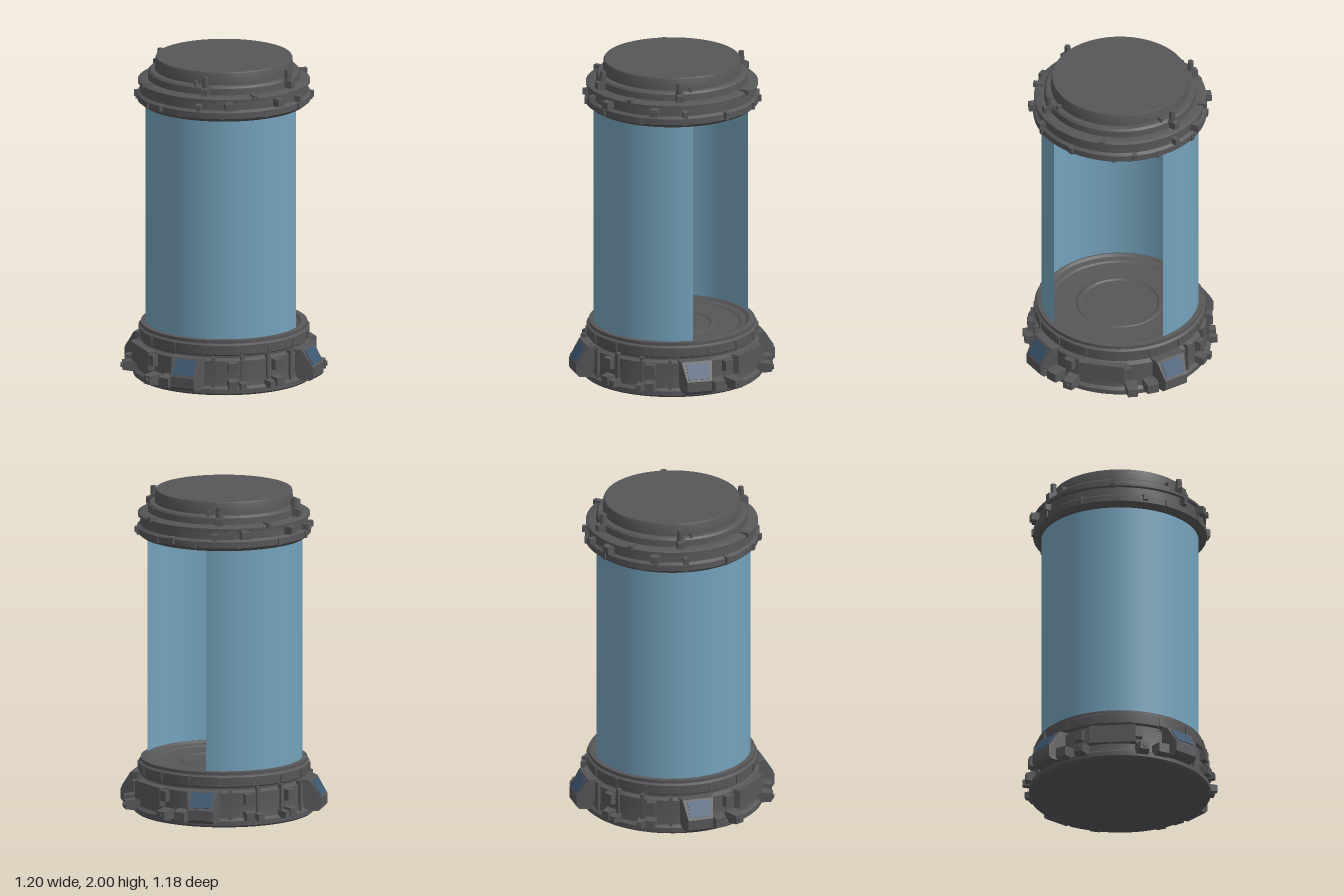
import * as THREE from 'three';
import { toCreasedNormals } from 'three/addons/utils/BufferGeometryUtils.js';

const mat = (name, color, side = THREE.FrontSide) =>
  Object.assign(new THREE.MeshStandardMaterial({ color, side }), { name });

export function createModel() {
  const model = new THREE.Group();
  model.name = 'containmentTube';
  const metal = mat('dark metal', 0x57575a);
  const glass = mat('blue glass', 0x74a2bb, THREE.DoubleSide);
  const panel = mat('navy panel', 0x3d5872);

  const add = (name, geo, material = metal) => {
    const mesh = new THREE.Mesh(geo, material);
    mesh.name = name;
    model.add(mesh);
    return mesh;
  };
  const lathe = (name, pts) => add(name, toCreasedNormals(
    new THREE.LatheGeometry(pts.map(p => new THREE.Vector2(...p)), 72), 0.5));
  // Place a part around the axis; angle in degrees from +z towards +x
  const around = (name, geo, angle, r, y, material) => {
    const a = THREE.MathUtils.degToRad(angle);
    const mesh = add(name, geo, material);
    mesh.position.set(Math.sin(a) * r, y, Math.cos(a) * r);
    mesh.rotation.y = a;
  };
  const mirrored = a => [a, 180 - a, 180 + a, -a];
  const box = (w, h, d) => new THREE.BoxGeometry(w, h, d);
  // Box whose outer face is chamfered by shrinking it
  const taperBox = (w, h, d, k = 0.7) => {
    const g = box(w, h, d), p = g.attributes.position;
    for (let i = 0; i < p.count; i++) {
      if (p.getZ(i) > 0) p.setXY(i, p.getX(i) * k, p.getY(i) * k);
    }
    g.computeVertexNormals();
    return g;
  };

  // Base with stepped outside and ringed floor
  lathe('base', [[0, 0], [0.54, 0], [0.555, 0.012], [0.555, 0.04], [0.535, 0.055],
    [0.53, 0.09], [0.53, 0.21], [0.505, 0.225], [0.505, 0.238], [0.52, 0.248],
    [0.522, 0.305], [0.508, 0.315], [0.508, 0.335], [0.47, 0.338], [0.455, 0.325],
    [0.42, 0.32], [0.41, 0.312], [0.27, 0.308], [0.26, 0.314], [0.24, 0.314],
    [0.23, 0.306], [0.12, 0.306], [0, 0.306]]);

  // Cap with recessed ceiling and stepped outside
  lathe('cap', [[0, 1.8], [0.38, 1.8], [0.39, 1.74], [0.42, 1.735], [0.43, 1.715],
    [0.5, 1.712], [0.518, 1.725], [0.53, 1.735], [0.53, 1.772], [0.512, 1.785],
    [0.51, 1.835], [0.525, 1.84], [0.525, 1.855], [0.505, 1.865], [0.465, 1.868],
    [0.462, 1.908], [0.45, 1.92], [0.422, 1.922], [0.418, 1.99], [0.413, 2], [0, 2]]);

  // Glass wall, open for a quarter turn on the +x side
  add('glassWall', new THREE.CylinderGeometry(0.48, 0.48, 1.385, 72, 1, true,
    Math.PI * 0.75, Math.PI * 1.5), glass).position.y = 1.0275;

  // Sloped corner housings with coloured plates
  const profile = new THREE.Shape([[0.48, 0.035], [0.61, 0.035], [0.63, 0.055],
    [0.63, 0.118], [0.56, 0.228], [0.48, 0.228]].map(p => new THREE.Vector2(...p)));
  const housing = new THREE.ExtrudeGeometry(profile, { depth: 1, bevelEnabled: false });
  housing.translate(0, 0, -0.5).rotateY(-Math.PI / 2);
  const hp = housing.attributes.position;
  for (let i = 0; i < hp.count; i++) {
    const t = Math.max(0, (hp.getZ(i) - 0.52) / 0.11);
    hp.setX(i, hp.getX(i) * (0.215 - 0.06 * t));
  }
  housing.computeVertexNormals();
  const plate = box(0.135, 0.102, 0.008).rotateX(-Math.atan(0.07 / 0.11));
  for (const a of mirrored(45)) {
    around('cornerHousing', housing, a, 0, 0);
    around('housingPlate', plate, a, 0.595, 0.174, panel);
  }

  // Lower clamps: knobs and blocks beside the housings, and on front and back
  for (const a of mirrored(70.7)) {
    around('clampKnob', taperBox(0.085, 0.075, 0.11), a, 0.565, 0.06);
    around('clampPin', new THREE.CylinderGeometry(0.016, 0.016, 0.03, 8).rotateX(Math.PI / 2), a, 0.615, 0.06);
    around('upperBox', taperBox(0.065, 0.075, 0.06, 0.85), a - 3, 0.535, 0.17);
  }
  for (const a of mirrored(58.5)) {
    around('clampBlock', taperBox(0.1, 0.085, 0.12), a, 0.55, 0.065);
  }
  for (const a of mirrored(15.3)) {
    around('clampBlock', taperBox(0.075, 0.07, 0.08), a, 0.545, 0.068);
    around('upperBox', taperBox(0.065, 0.075, 0.06, 0.85), a, 0.535, 0.172);
  }
  for (const a of mirrored(9)) {
    around('clampKnob', taperBox(0.05, 0.055, 0.08), a, 0.555, 0.06);
    around('baseRib', box(0.02, 0.2, 0.03), a, 0.53, 0.145);
  }
  for (const a of mirrored(28)) around('baseRib', box(0.02, 0.19, 0.03), a, 0.53, 0.14);
  for (const a of [90, -90]) around('sidePanel', taperBox(0.3, 0.12, 0.06, 0.95), a, 0.52, 0.16);
  for (let i = 0; i < 16; i++) {
    around('baseRimClip', box(0.022, 0.05, 0.02), i * 22.5 + 11, 0.518, 0.275);
  }

  // Cap lugs, side nubs, upright bolts and small ticks
  for (const a of mirrored(17.8)) around('capLug', taperBox(0.06, 0.055, 0.07, 0.8), a, 0.525, 1.812);
  for (const a of mirrored(38)) around('capLug', taperBox(0.035, 0.045, 0.05, 0.8), a, 0.525, 1.8);
  for (const a of mirrored(68)) around('capLug', taperBox(0.035, 0.045, 0.05, 0.8), a, 0.525, 1.765);
  for (const a of [0, 90, 180, 270]) around('sideNub', box(0.032, 0.03, 0.06), a, 0.51, 1.862);
  for (const a of mirrored(35)) {
    around('boltFoot', taperBox(0.055, 0.06, 0.07), a, 0.475, 1.89);
    around('bolt', new THREE.CylinderGeometry(0.018, 0.024, 0.12, 8), a, 0.468, 1.92);
  }
  for (const a of mirrored(44)) around('capTick', box(0.014, 0.05, 0.04), a, 0.435, 1.92);
  for (let i = 0; i < 12; i++) {
    around('capRimClip', box(0.025, 0.042, 0.018), i * 30 + 8, 0.53, 1.753);
  }
  return model;
}
